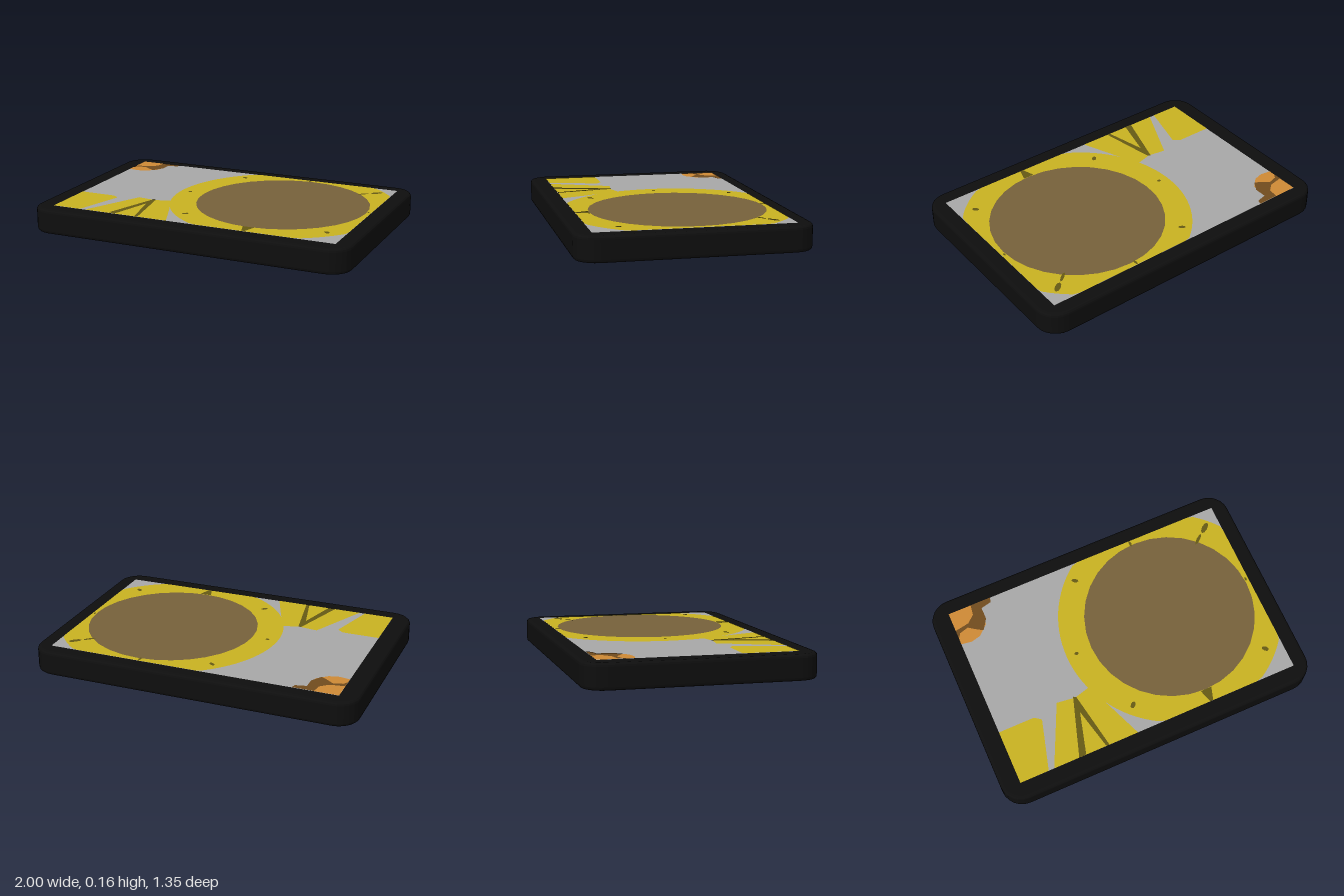
import * as THREE from 'three';

const mat = (name, color) => {
  const m = new THREE.MeshStandardMaterial({ color });
  m.name = name;
  return m;
};

// picture rectangle: x and z limits
const X0 = -0.885, X1 = 0.905, Z0 = -0.585, Z1 = 0.575;
const MID = 0.079; // half of the total height

export function createModel() {
  const black = mat('black', 0x0e0e0e);
  const grey = mat('grey', 0xa8a8a8);
  const yellow = mat('yellow', 0xcab321);
  const brown = mat('brown', 0x77613b);
  const olive = mat('olive', 0x665a14);
  const orange = mat('orange', 0xcf8a35);
  const darkBrown = mat('darkBrown', 0x724c1e);

  const model = new THREE.Group();
  model.name = 'framedPanel';

  // frame: slab with rounded corners and softened edges
  const b = 0.02, w = 1 - b, d = 0.676 - b, r = 0.11;
  const outline = new THREE.Shape();
  outline.absarc(w - r, d - r, r, 0, Math.PI / 2);
  outline.absarc(-w + r, d - r, r, Math.PI / 2, Math.PI);
  outline.absarc(-w + r, -d + r, r, Math.PI, Math.PI * 1.5);
  outline.absarc(w - r, -d + r, r, Math.PI * 1.5, Math.PI * 2);
  const slab = new THREE.ExtrudeGeometry(outline, {
    depth: 0.15 - 2 * b, bevelThickness: b, bevelSize: b, bevelSegments: 3, curveSegments: 3,
  });
  slab.translate(0, 0, -0.075 + b).rotateX(-Math.PI / 2);
  const frame = new THREE.Mesh(slab, black);
  frame.name = 'frame';
  frame.position.y = MID;
  model.add(frame);

  // flat painted piece from [x, z] points, clipped to the picture rectangle
  const paint = (group, name, points, material, layer) => {
    const pts = points.map(([x, z]) => new THREE.Vector2(
      THREE.MathUtils.clamp(x, X0, X1), -THREE.MathUtils.clamp(z, Z0, Z1)));
    const mesh = new THREE.Mesh(new THREE.ShapeGeometry(new THREE.Shape(pts)).rotateX(-Math.PI / 2), material);
    mesh.name = name;
    mesh.position.y = 0.076 + layer * 0.001;
    group.add(mesh);
  };
  const ring = (cx, cz, rx, rz, n, turn = 0) => Array.from({ length: n }, (_, i) => {
    const a = (i / n) * Math.PI * 2, u = rx * Math.cos(a), v = rz * Math.sin(a);
    return [cx + u * Math.cos(turn) - v * Math.sin(turn), cz + u * Math.sin(turn) + v * Math.cos(turn)];
  });

  const makePicture = (name) => {
    const g = new THREE.Group();
    g.name = name;
    paint(g, 'background', [[X0, Z0], [X1, Z0], [X1, Z1], [X0, Z1]], grey, 0);

    // large disc with its yellow rim
    const cx = 0.355, cz = -0.03;
    paint(g, 'yellowRim', ring(cx, cz, 0.685, 0.685, 96), yellow, 1);
    paint(g, 'brownDisc', ring(cx, cz, 0.525, 0.525, 32), brown, 2);

    // yellow blades in the corner
    paint(g, 'cornerBlade', [[X0, 0.24], [-0.66, 0.24], [-0.62, 0.27], [-0.705, Z1], [X0, Z1]], yellow, 1);
    paint(g, 'middleBlade', [[-0.5, 0.21], [-0.385, 0.225], [-0.29, 0.2], [-0.22, 0.35], [-0.13, Z1], [-0.67, Z1]], yellow, 1);
    paint(g, 'bladeCrease', [[-0.395, 0.215], [-0.378, 0.225], [-0.315, Z1], [-0.335, Z1], [-0.395, 0.32],
      [-0.465, Z1], [-0.51, Z1]], olive, 3);

    // small dark marks around the rim: x, z, half length, half width, turn
    [[-0.087, -0.475, 0.022, 0.012, 0.6], [-0.267, -0.03, 0.013, 0.01, 0], [-0.087, 0.408, 0.022, 0.014, -0.8],
      [0.795, 0.408, 0.022, 0.014, 0.8], [0.805, -0.475, 0.04, 0.017, -0.7], [0.735, -0.42, 0.04, 0.01, -0.7],
      [0.33, -0.565, 0.008, 0.02, 0], [0.888, -0.055, 0.006, 0.012, 0]]
      .forEach(([x, z, l, h, t]) => paint(g, 'rimMark', ring(x, z, l, h, 8, t), olive, 3));
    paint(g, 'rimNotch', [[0.32, 0.495], [0.39, 0.495], [0.365, Z1], [0.345, Z1]], olive, 3);

    // orange corner spot with a dark band
    paint(g, 'orangeSpot', [[X0, Z0], [-0.73, Z0], [-0.685, -0.51], [-0.7, -0.43], [-0.76, -0.375], [-0.82, -0.36],
      [X0, -0.37]], orange, 1);
    paint(g, 'spotBand', [[-0.74, Z0], [-0.61, Z0], [-0.62, -0.555], [-0.685, -0.54], [-0.685, -0.465], [-0.727, -0.4],
      [-0.76, -0.42], [-0.81, -0.455], [-0.865, -0.44], [X0, -0.41], [X0, -0.465], [-0.797, -0.48],
      [-0.75, -0.52]], darkBrown, 2);
    g.position.y = MID;
    return g;
  };

  // same picture on both faces, the lower one turned over about x
  model.add(makePicture('topPicture'));
  const under = makePicture('bottomPicture');
  under.rotation.x = Math.PI;
  model.add(under);
  return model;
}
